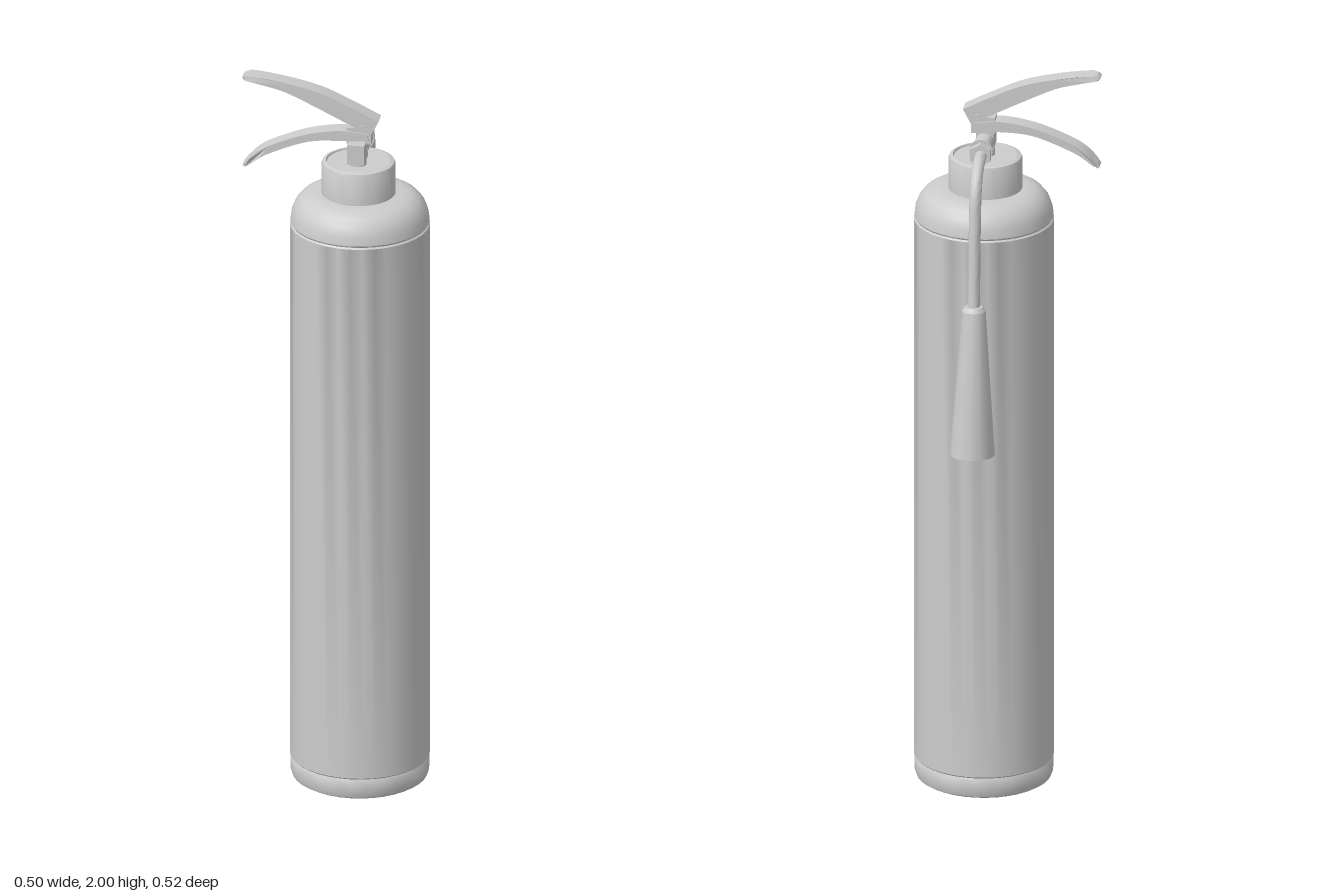
import * as THREE from 'three';
import { toCreasedNormals } from 'three/addons/utils/BufferGeometryUtils.js';

const V = (x, y, z) => new THREE.Vector3(x, y, z);

export function createModel() {
  const group = new THREE.Group();
  const grey = new THREE.MeshStandardMaterial({ color: 0xcccccc });
  grey.name = 'light grey';

  const add = (name, geometry, crease = 0.6) => {
    const mesh = new THREE.Mesh(toCreasedNormals(geometry, crease), grey);
    mesh.name = name;
    group.add(mesh);
    return mesh;
  };
  const lathe = (name, pts, x, z) => {
    const g = new THREE.LatheGeometry(pts.map(([r, y]) => new THREE.Vector2(r, y)), 36);
    return add(name, g).position.set(x, 0, z);
  };
  // Cylinder running between two points
  const rod = (name, a, b, ra, rb, sides = 16) => {
    const dir = b.clone().sub(a);
    const mesh = add(name, new THREE.CylinderGeometry(rb, ra, dir.length(), sides));
    mesh.position.copy(a).add(b).multiplyScalar(0.5);
    mesh.quaternion.setFromUnitVectors(V(0, 1, 0), dir.normalize());
    return mesh;
  };
  const box = (name, w, h, d, x, y, z) =>
    add(name, new THREE.BoxGeometry(w, h, d)).position.set(x, y, z);

  // Tank with rolled foot, seams and rounded shoulder
  lathe('tank', [[0, 0], [0.168, 0], [0.178, 0.006], [0.183, 0.02], [0.184, 0.055], [0.181, 0.06],
    [0.185, 0.064], [0.185, 1.583], [0.181, 1.587], [0.184, 1.592], [0.181, 1.615], [0.172, 1.638],
    [0.157, 1.656], [0.138, 1.667], [0.115, 1.671], [0, 1.671]], 0.06, 0.073);
  lathe('neckCollar', [[0.098, 1.66], [0.098, 1.752], [0.095, 1.759], [0.086, 1.762], [0.084, 1.757],
    [0, 1.757]], 0.056, 0.073);

  // Valve
  rod('valveStem', V(0.056, 1.75, 0.088), V(0.056, 1.83, 0.088), 0.024, 0.02);
  box('valveBlock', 0.046, 0.055, 0.068, 0.058, 1.803, 0.106);
  box('leverBracket', 0.065, 0.045, 0.04, 0.062, 1.845, 0.088);
  rod('leverPin', V(0.075, 1.87, 0.06), V(0.075, 1.87, 0.116), 0.009, 0.009, 10);

  // Outlet and hose coupling
  rod('outletPipe', V(0.058, 1.798, 0.09), V(0.058, 1.798, 0.01), 0.025, 0.025);
  rod('outletFlange', V(0.059, 1.798, 0.011), V(0.059, 1.798, 0.005), 0.031, 0.031, 20);
  rod('couplingNeck', V(0.057, 1.798, 0.006), V(0.057, 1.798, -0.012), 0.02, 0.02);
  rod('hexNut', V(0.057, 1.798, -0.01), V(0.057, 1.798, -0.03), 0.031, 0.031, 6);

  // Hose and discharge horn
  const path = new THREE.CatmullRomCurve3([V(0.055, 1.797, -0.025), V(0.055, 1.793, -0.065),
    V(0.055, 1.772, -0.108), V(0.055, 1.73, -0.135), V(0.055, 1.65, -0.149),
    V(0.055, 1.53, -0.16), V(0.055, 1.41, -0.172)]);
  add('hose', new THREE.TubeGeometry(path, 32, 0.016, 12), 1);
  rod('horn', V(0.055, 1.018, -0.201), V(0.055, 1.415, -0.173), 0.06, 0.032, 12);
  rod('hornCap', V(0.055, 1.414, -0.173), V(0.055, 1.426, -0.172), 0.032, 0.024, 12);

  // Levers: side outlines swept across their width, with a narrowed tip
  const lever = (name, upper, lower) => {
    const shape = new THREE.Shape();
    shape.moveTo(...upper[0]);
    shape.splineThru(upper.slice(1).map((p) => new THREE.Vector2(...p)));
    shape.lineTo(...lower[0]);
    shape.splineThru(lower.slice(1).map((p) => new THREE.Vector2(...p)));
    const g = new THREE.ExtrudeGeometry(shape, { depth: 0.048, bevelEnabled: false, curveSegments: 5 });
    g.translate(0, 0, -0.024);
    const p = g.attributes.position;
    for (let i = 0; i < p.count; i++) {
      if (p.getX(i) < -0.236) p.setZ(i, p.getZ(i) * 0.7);
    }
    add(name, g, 0.5).position.z = 0.088;
  };
  lever('upperLever',
    [[-0.25, 1.992], [-0.23, 2], [-0.14, 1.988], [-0.045, 1.965], [0.035, 1.93], [0.115, 1.89]],
    [[0.094, 1.85], [0.04, 1.876], [-0.035, 1.914], [-0.13, 1.959], [-0.2, 1.978], [-0.245, 1.987]]);
  lever('lowerLever',
    [[-0.248, 1.742], [-0.235, 1.758], [-0.19, 1.797], [-0.087, 1.84], [0.008, 1.858], [0.085, 1.852]],
    [[0.088, 1.832], [0.024, 1.83], [-0.07, 1.823], [-0.177, 1.782], [-0.225, 1.75], [-0.243, 1.737]]);

  return group;
}
